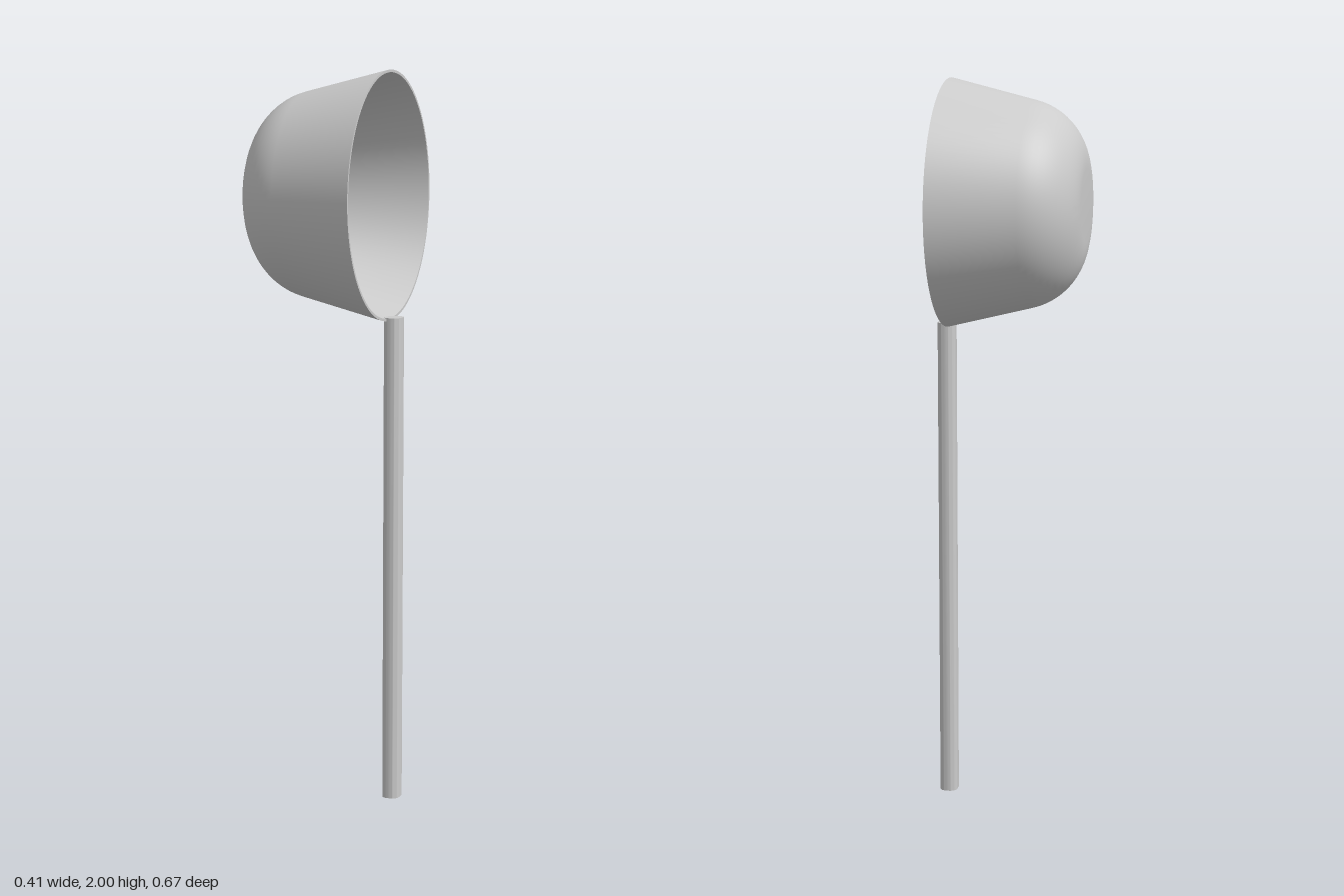
import * as THREE from 'three';
import { toCreasedNormals } from 'three/addons/utils/BufferGeometryUtils.js';

const material = new THREE.MeshStandardMaterial({ color: 0xcccccc });

// Bowl wall from centre to rim: flat base, tangent arc, flared side.
function wall(inset) {
  const points = [new THREE.Vector2(0, -0.205 + inset)];
  const radius = 0.185 - inset;
  const sweep = THREE.MathUtils.degToRad(75.9);
  const steps = 14;
  for (let i = 0; i <= steps; i++) {
    const a = (i / steps) * sweep;
    points.push(new THREE.Vector2(0.098 + radius * Math.sin(a), -0.02 - radius * Math.cos(a)));
  }
  points.push(new THREE.Vector2(0.335 - inset, 0.167));
  return points;
}

function roundedRect(x0, y0, x1, y1, r) {
  const s = new THREE.Shape();
  s.moveTo(x0 + r, y0);
  s.absarc(x1 - r, y0 + r, r, -Math.PI / 2, 0);
  s.absarc(x1 - r, y1 - r, r, 0, Math.PI / 2);
  s.absarc(x0 + r, y1 - r, r, Math.PI / 2, Math.PI);
  s.absarc(x0 + r, y0 + r, r, Math.PI, Math.PI * 1.5);
  return s;
}

export function createModel() {
  const group = new THREE.Group();
  group.name = 'ladle';

  // Thin-walled bowl, opening toward +x
  const profile = [...wall(0), ...wall(0.007).reverse()];
  const bowlGeometry = toCreasedNormals(new THREE.LatheGeometry(profile, 96), 0.6);
  const bowl = new THREE.Mesh(bowlGeometry, material);
  bowl.name = 'bowl';
  bowl.rotation.z = -Math.PI / 2;
  bowl.position.y = 1.665;
  group.add(bowl);

  // Straight handle with rounded long edges, overlapping the lower rim
  const handleGeometry = new THREE.ExtrudeGeometry(roundedRect(0.155, -0.03, 0.203, 0.03, 0.02), {
    depth: 1.34, bevelEnabled: false, curveSegments: 8,
  });
  handleGeometry.rotateX(-Math.PI / 2);
  const handle = new THREE.Mesh(toCreasedNormals(handleGeometry, 0.6), material);
  handle.name = 'handle';
  group.add(handle);

  return group;
}
